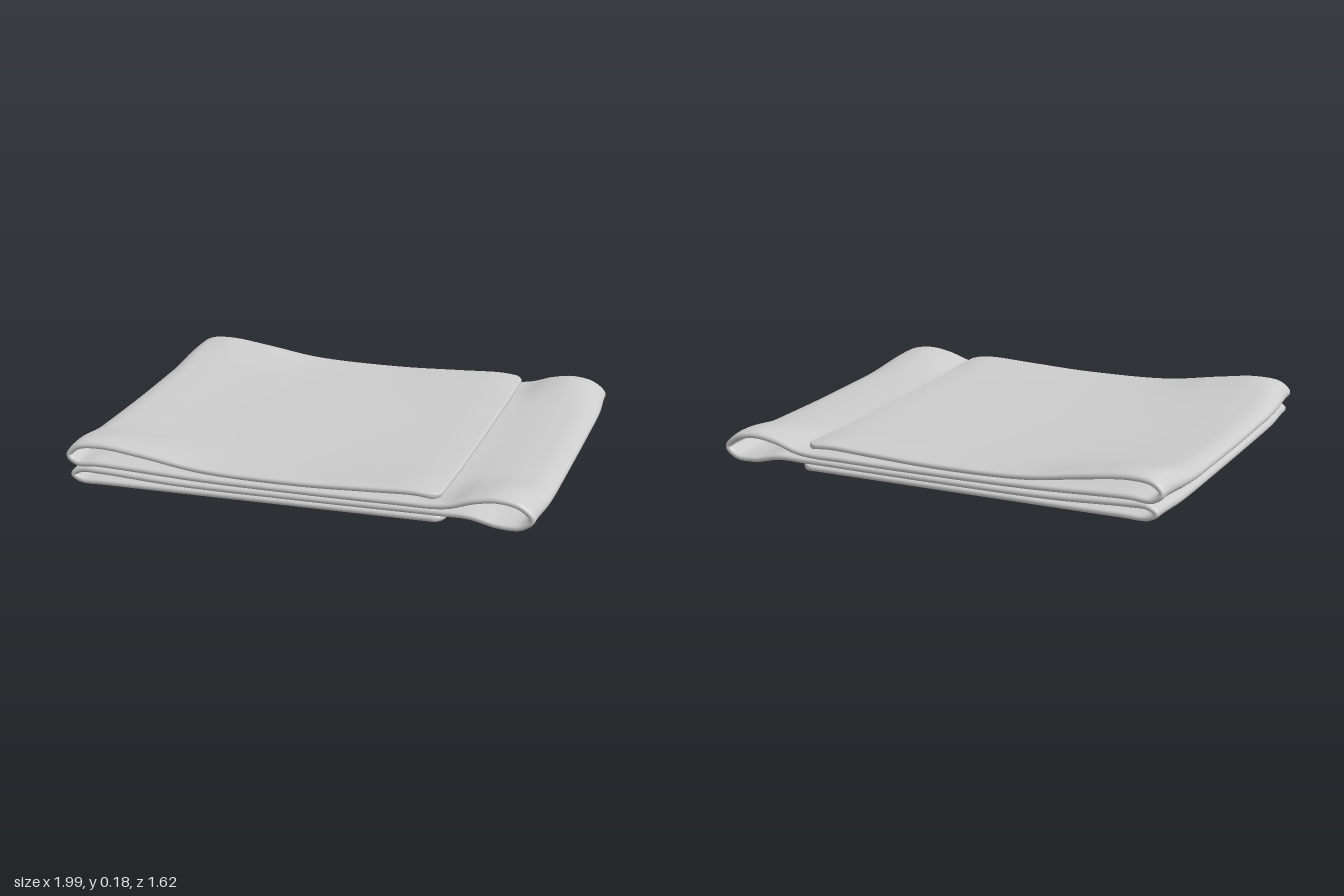
import * as THREE from 'three';
import { mergeVertices } from 'three/addons/utils/BufferGeometryUtils.js';

const HALF = 0.012;   // half the cloth thickness
const DEPTH = 0.808;  // half the depth along z
const CORNER = 0.06;  // rounding of the free corners

// Centre line of the folded sheet: [x, y at the open ends, y halfway along z]
const FOLDS = [
  // top flap
  [0.60, 0.098, 0.088], [0.50, 0.111, 0.092], [0.30, 0.104, 0.090], [0, 0.093, 0.090],
  [-0.40, 0.105, 0.092], [-0.65, 0.148, 0.098],
  // upper left fold
  [-0.85, 0.172, 0.108], [-0.95, 0.158, 0.108], [-0.986, 0.118, 0.092], [-0.95, 0.088, 0.072],
  [-0.85, 0.092, 0.068],
  // second layer
  [-0.40, 0.072, 0.064], [0, 0.066, 0.063], [0.40, 0.066, 0.063], [0.62, 0.072, 0.062],
  // wide right fold
  [0.74, 0.112, 0.067], [0.85, 0.126, 0.069], [0.94, 0.104, 0.062], [0.985, 0.055, 0.040],
  [0.94, 0.016, 0.015], [0.85, 0.014, 0.013], [0.72, 0.040, 0.030], [0.60, 0.040, 0.037],
  // third layer
  [0, 0.038, 0.037], [-0.50, 0.042, 0.038],
  // lower left fold
  [-0.85, 0.061, 0.045], [-0.93, 0.060, 0.043], [-0.966, 0.036, 0.028], [-0.93, 0.013, 0.013],
  // bottom layer
  [-0.80, 0.012, 0.012], [0, 0.012, 0.012], [0.62, 0.012, 0.012],
];
const LAST = FOLDS.length - 1;
const smooth = THREE.MathUtils.smoothstep;

// Quarter-ellipse rise from 0 to 1 over a distance r from an edge
const rim = (d, r) => Math.sqrt(Math.max(0, 1 - (1 - Math.min(d / r, 1)) ** 2));

// Positions along the sheet, closer together at the two free edges
function sheetSteps() {
  const s = [0, 0.008, 0.03, 0.06];
  for (let i = 1; i < LAST * 10; i++) s.push(i / 10);
  s.push(LAST - 0.02, LAST - 0.01, LAST - 0.003, LAST);
  return s;
}

// Positions along z, closer together at the open ends
function depthSteps() {
  const z = [];
  for (const d of [0, 0.001, 0.004, 0.008, 0.012, 0.02, 0.03, 0.045, 0.06]) z.push(d - DEPTH);
  const inner = DEPTH - 0.06;
  for (let i = 1; i < 40; i++) z.push(-inner + (2 * inner * i) / 40);
  return [...z, ...z.slice(0, 9).reverse().map((v) => -v)];
}

// One closed ring around the cloth thickness at a given z
function section(z, steps) {
  const a = Math.abs(z), d = DEPTH - a;
  // the folds puff up towards the open ends, then dip at the very edge
  const lift = 0.15 * smooth(a, 0, 0.5) + 0.85 * smooth(a, 0.4, 0.76) - 0.2 * smooth(a, 0.755, 0.82);
  // fold lines pull in a little near the corners
  const pull = 1 - 0.015 * smooth(a, 0.55, 0.81);
  const curve = new THREE.CatmullRomCurve3(FOLDS.map(([x, end, mid]) =>
    new THREE.Vector3(x * (Math.abs(x) > 0.8 ? pull : 1), THREE.MathUtils.lerp(mid, end, lift), 0)));
  const cut = CORNER * (1 - rim(d, CORNER));
  const upper = [], lower = [];
  for (const s0 of steps) {
    let s = s0;
    if (s < 1) s = cut / 0.1 + s * (1 - cut / 0.1);
    if (s > LAST - 1) s = LAST - 1 + (s - LAST + 1) * (1 - cut / 0.62);
    const p = curve.getPoint(s / LAST), t = curve.getTangent(s / LAST);
    const h = HALF * rim(d, HALF) * rim(s0 * 0.1, HALF) * rim((LAST - s0) * 0.62, HALF);
    // the top flap is slightly shorter than the layers below
    const zz = z * (1 - 0.018 * (1 - smooth(s0, 5, 10)) * smooth(a, 0.5, 0.8));
    upper.push([p.x + t.y * h, Math.max(0, p.y - t.x * h), zz]);
    lower.push([p.x - t.y * h, Math.max(0, p.y + t.x * h), zz]);
  }
  return [...upper, ...lower.reverse()];
}

function clothGeometry() {
  const steps = sheetSteps();
  const rings = depthSteps().map((z) => section(z, steps));
  const n = rings[0].length, index = [];
  for (let j = 0; j < rings.length - 1; j++) {
    for (let i = 0; i < n; i++) {
      const k = (i + 1) % n;
      const a = j * n + i, b = j * n + k, c = b + n, e = a + n;
      index.push(a, b, c, a, c, e);
    }
  }
  const geometry = new THREE.BufferGeometry();
  geometry.setAttribute('position', new THREE.Float32BufferAttribute(rings.flat(2), 3));
  geometry.setIndex(index);
  const merged = mergeVertices(geometry, 1e-6);
  merged.computeVertexNormals();
  return merged;
}

export function createModel() {
  const group = new THREE.Group();
  group.name = 'foldedBlanket';
  const cloth = new THREE.Mesh(clothGeometry(),
    new THREE.MeshStandardMaterial({ color: 0xcccccc, side: THREE.DoubleSide }));
  cloth.name = 'foldedCloth';
  group.add(cloth);
  return group;
}
